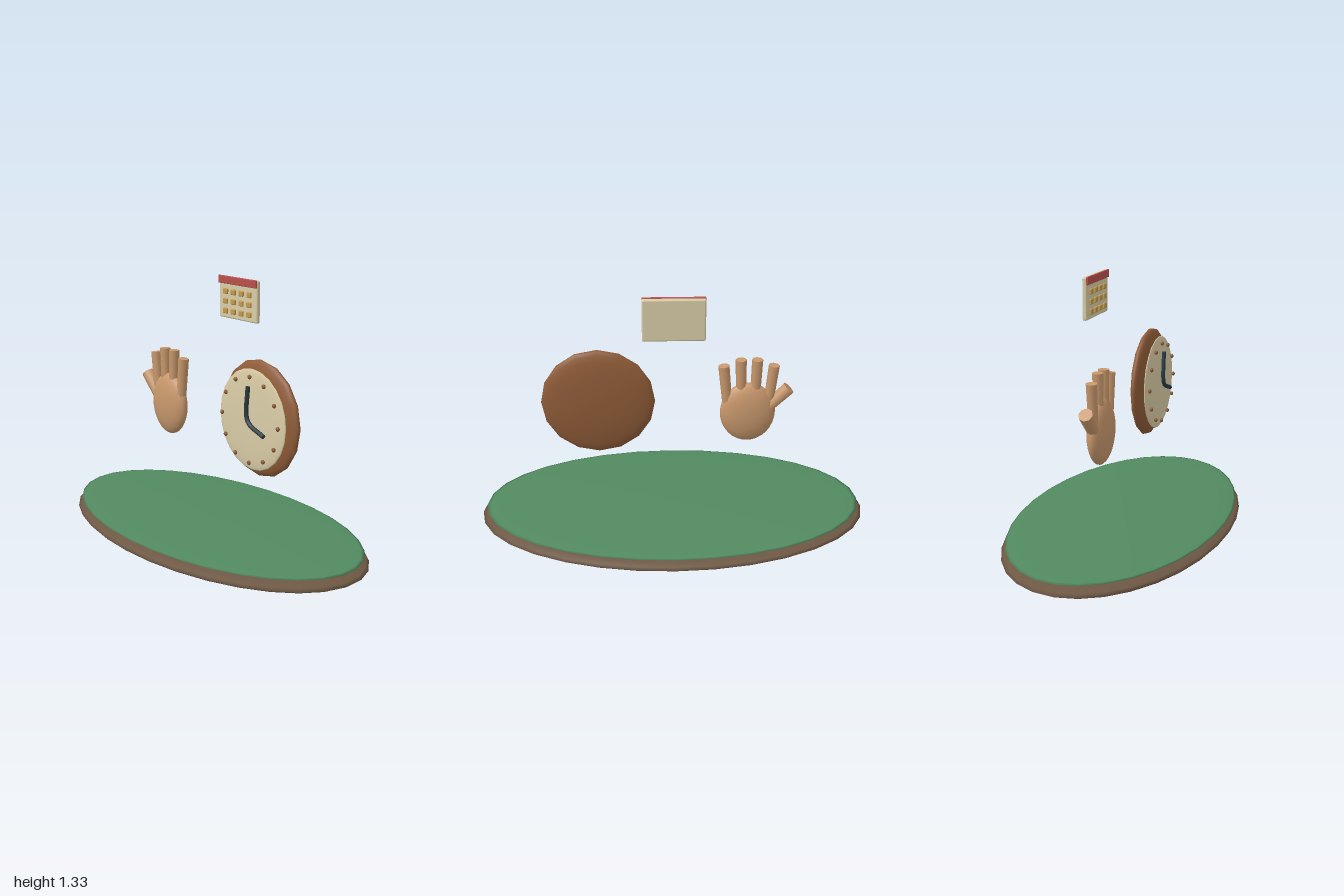
import * as THREE from 'three';
import { RoundedBoxGeometry } from 'three/addons/geometries/RoundedBoxGeometry.js';

const paint = (color) => new THREE.MeshStandardMaterial({ color });

const wood = paint(0x6e5844);
const felt = paint(0x528a60);
const clockWood = paint(0x8f5c38);
const cream = paint(0xd9cca6);
const skin = paint(0xc8986c);
const red = paint(0xb9504c);
const gold = paint(0xc49a4c);
const dark = paint(0x2b3b42);

function add(parent, name, geometry, material, x = 0, y = 0, z = 0) {
  const mesh = new THREE.Mesh(geometry, material);
  mesh.name = name;
  mesh.position.set(x, y, z);
  parent.add(mesh);
  return mesh;
}

function group(parent, name, x, y, z) {
  const g = new THREE.Group();
  g.name = name;
  g.position.set(x, y, z);
  parent.add(g);
  return g;
}

// Ellipsoid with its poles on the y axis
const ellipsoid = (rx, ry, rz, w = 32, h = 16) => new THREE.SphereGeometry(1, w, h).scale(rx, ry, rz);

// Flat disc-like ellipsoid with its poles on the z axis
const lens = (r, rz, sides) => new THREE.SphereGeometry(1, sides, 16).rotateX(Math.PI / 2).scale(r, r, rz);

// Tapered finger running from a to b
function finger(parent, name, a, b, rBase, rTip) {
  const start = new THREE.Vector3(...a);
  const dir = new THREE.Vector3(...b).sub(start);
  const mesh = add(parent, name, new THREE.CylinderGeometry(rTip, rBase, dir.length(), 8), skin);
  mesh.position.copy(start).addScaledVector(dir, 0.5);
  mesh.quaternion.setFromUnitVectors(new THREE.Vector3(0, 1, 0), dir.normalize());
}

export function createModel() {
  const model = new THREE.Group();
  model.name = 'tableScene';

  // Oval table top with felt
  add(model, 'tableBase', ellipsoid(1, 0.057, 0.545), wood, 0, 0.058, 0);
  add(model, 'tableFelt', ellipsoid(0.975, 0.018, 0.525), felt, 0, 0.105, 0);

  // Open hand
  const hand = group(model, 'hand', -0.378, 0.64, 0);
  add(hand, 'palm', ellipsoid(0.14, 0.163, 0.053, 24, 16), skin);
  const tips = [[-0.126, 0.26], [-0.042, 0.292], [0.04, 0.292], [0.125, 0.26]];
  tips.forEach(([x, y], i) => finger(hand, `finger${i + 1}`, [x * 0.82, 0.04, 0], [x, y, 0], 0.025, 0.028));
  finger(hand, 'thumb', [-0.07, -0.005, 0], [-0.204, 0.132, 0], 0.03, 0.035);

  // Clock
  const clock = group(model, 'clock', 0.375, 0.71, 0);
  add(clock, 'clockCase', lens(0.286, 0.05, 16), clockWood);
  add(clock, 'clockFace', lens(0.247, 0.016, 24), cream, 0, 0, 0.049);
  for (let i = 0; i < 12; i++) {
    const a = (i / 12) * Math.PI * 2;
    add(clock, `hourDot${i + 1}`, ellipsoid(0.011, 0.011, 0.009, 10, 8), clockWood,
      Math.sin(a) * 0.21, Math.cos(a) * 0.21, 0.068);
  }

  // Both clock hands as one bent rod with closed ends
  const bend = new THREE.CatmullRomCurve3([
    new THREE.Vector3(0, 0.165, 0.078),
    new THREE.Vector3(0, 0, 0.078),
    new THREE.Vector3(0.12, -0.055, 0.078),
  ]);
  add(clock, 'clockHands', new THREE.TubeGeometry(bend, 20, 0.011, 8), dark);
  for (const t of [0, 1]) {
    const p = bend.getPoint(t);
    const cap = add(clock, 'clockHandEnd', new THREE.CircleGeometry(0.011, 8), dark, p.x, p.y, p.z);
    const out = bend.getTangent(t).multiplyScalar(t ? 1 : -1);
    cap.quaternion.setFromUnitVectors(new THREE.Vector3(0, 0, 1), out);
  }

  // Calendar with header strip and a grid of days
  const calendar = group(model, 'calendar', 0, 1.225, -0.167);
  add(calendar, 'calendarPage', new RoundedBoxGeometry(0.302, 0.212, 0.024, 2, 0.008), cream);
  add(calendar, 'calendarHeader', new RoundedBoxGeometry(0.302, 0.04, 0.012, 2, 0.004), red, 0, 0.089, 0.015);
  for (let row = 0; row < 3; row++) {
    for (let col = 0; col < 4; col++) {
      add(calendar, 'calendarDay', new RoundedBoxGeometry(0.034, 0.028, 0.014, 2, 0.005), gold,
        (col - 1.5) * 0.063, 0.031 - row * 0.0495, 0.015);
    }
  }

  return model;
}
